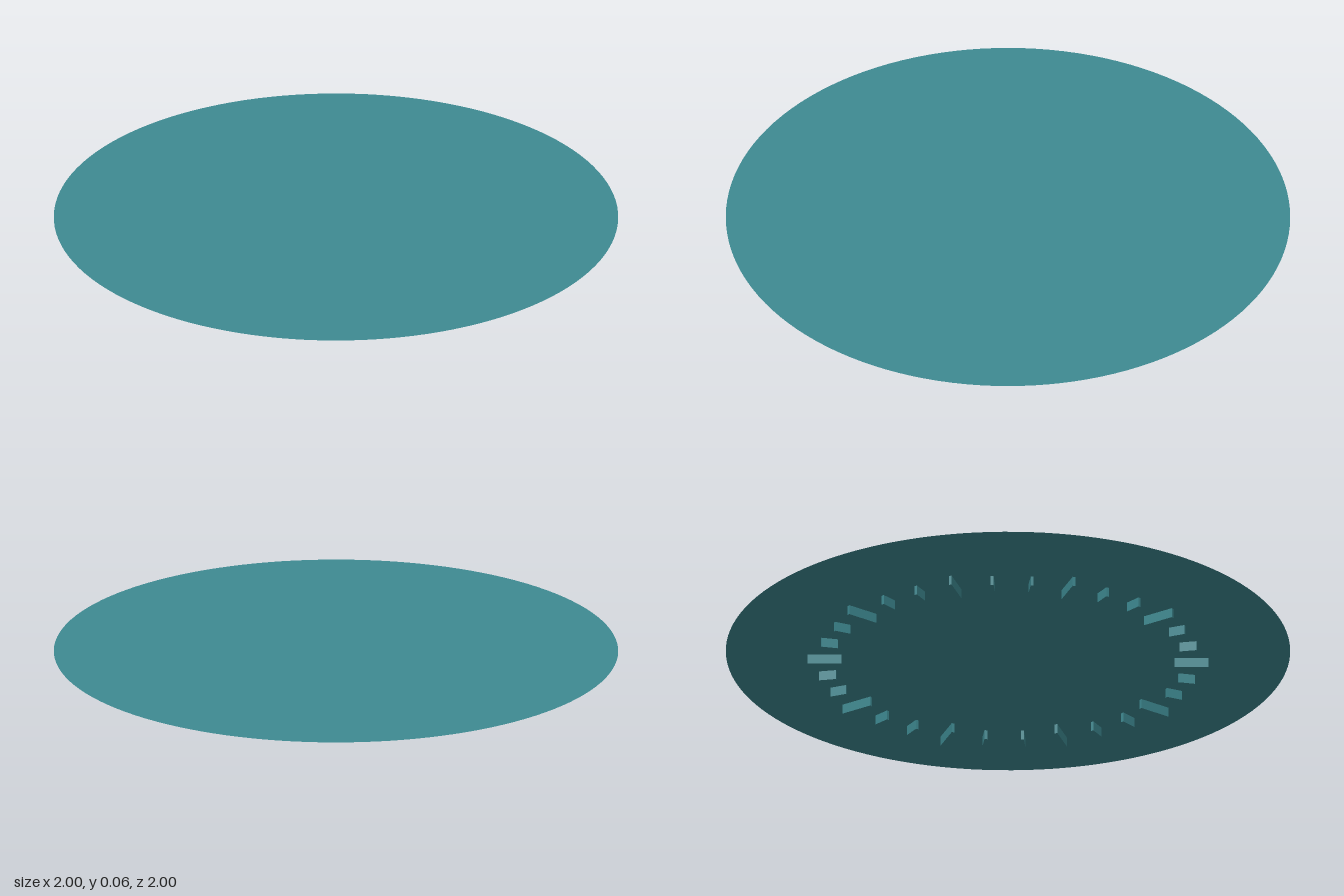
import * as THREE from 'three';

const DISC_Y = 0.058;      // height of the flat disc
const TICK_HEIGHT = 0.035; // ticks stand on the ground, just under the disc
const TICK_WIDTH = 0.01;
const TICK_RADIUS = 0.65;  // middle of every tick
const TICK_COUNT = 30;

export function createModel() {
  const model = new THREE.Group();
  model.name = 'dial';
  const material = new THREE.MeshStandardMaterial({ color: 0x3e8a92, side: THREE.DoubleSide });

  // Thin flat disc
  const disc = new THREE.Mesh(new THREE.CircleGeometry(1, 128).rotateX(-Math.PI / 2), material);
  disc.name = 'disc';
  disc.position.y = DISC_Y;
  model.add(disc);

  // Ring of radial ticks, every third one long
  const ticks = new THREE.Group();
  ticks.name = 'ticks';
  const longTick = new THREE.BoxGeometry(TICK_WIDTH, TICK_HEIGHT, 0.12);
  const shortTick = new THREE.BoxGeometry(TICK_WIDTH, TICK_HEIGHT, 0.06);
  for (let i = 0; i < TICK_COUNT; i++) {
    const angle = (i / TICK_COUNT) * Math.PI * 2;
    const isLong = i % 3 === 0;
    const tick = new THREE.Mesh(isLong ? longTick : shortTick, material);
    tick.name = isLong ? 'longTick' : 'shortTick';
    tick.position.set(Math.sin(angle) * TICK_RADIUS, TICK_HEIGHT / 2, Math.cos(angle) * TICK_RADIUS);
    tick.rotation.y = angle;
    ticks.add(tick);
  }
  model.add(ticks);

  return model;
}
